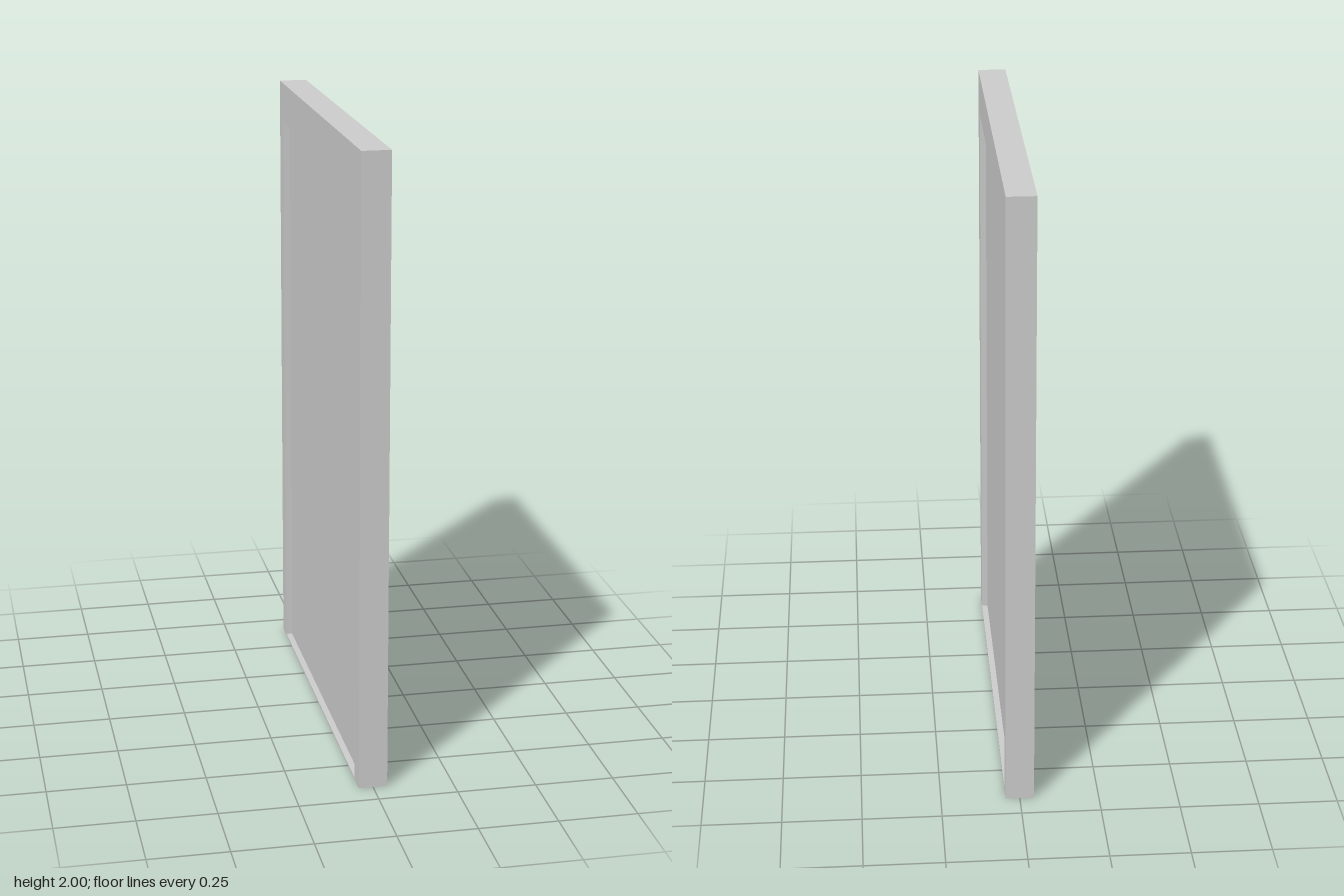
import * as THREE from 'three';

const WIDTH = 1.33, HEIGHT = 2, DEPTH = 0.09;
const JAMB = 0.065, HEAD = 0.133, SILL = 0.005, RECESS = 0.02;

// Rectangle outline, centred across the door
function rectangle(Outline, width, bottom, top) {
  const w = width / 2;
  return new Outline([
    new THREE.Vector2(-w, bottom), new THREE.Vector2(w, bottom),
    new THREE.Vector2(w, top), new THREE.Vector2(-w, top),
  ]);
}

export function createModel() {
  const door = new THREE.Group();
  door.name = 'door';
  const material = new THREE.MeshStandardMaterial({ color: 0xcccccc });
  const openingWidth = WIDTH - 2 * JAMB;
  const openingTop = HEIGHT - HEAD;

  // Surrounding frame: jambs, deep head and thin sill in one piece
  const outline = rectangle(THREE.Shape, WIDTH, 0, HEIGHT);
  outline.holes.push(rectangle(THREE.Path, openingWidth, SILL, openingTop));
  const frameGeometry = new THREE.ExtrudeGeometry(outline, { depth: DEPTH, bevelEnabled: false });
  frameGeometry.translate(0, 0, -DEPTH / 2).rotateY(Math.PI / 2);
  const frame = new THREE.Mesh(frameGeometry, material);
  frame.name = 'doorFrame';

  // Door leaf, recessed equally on both faces
  const leafHeight = openingTop - SILL;
  const leaf = new THREE.Mesh(
    new THREE.BoxGeometry(DEPTH - 2 * RECESS, leafHeight, openingWidth), material);
  leaf.position.y = SILL + leafHeight / 2;
  leaf.name = 'doorLeaf';

  door.add(frame, leaf);
  return door;
}
